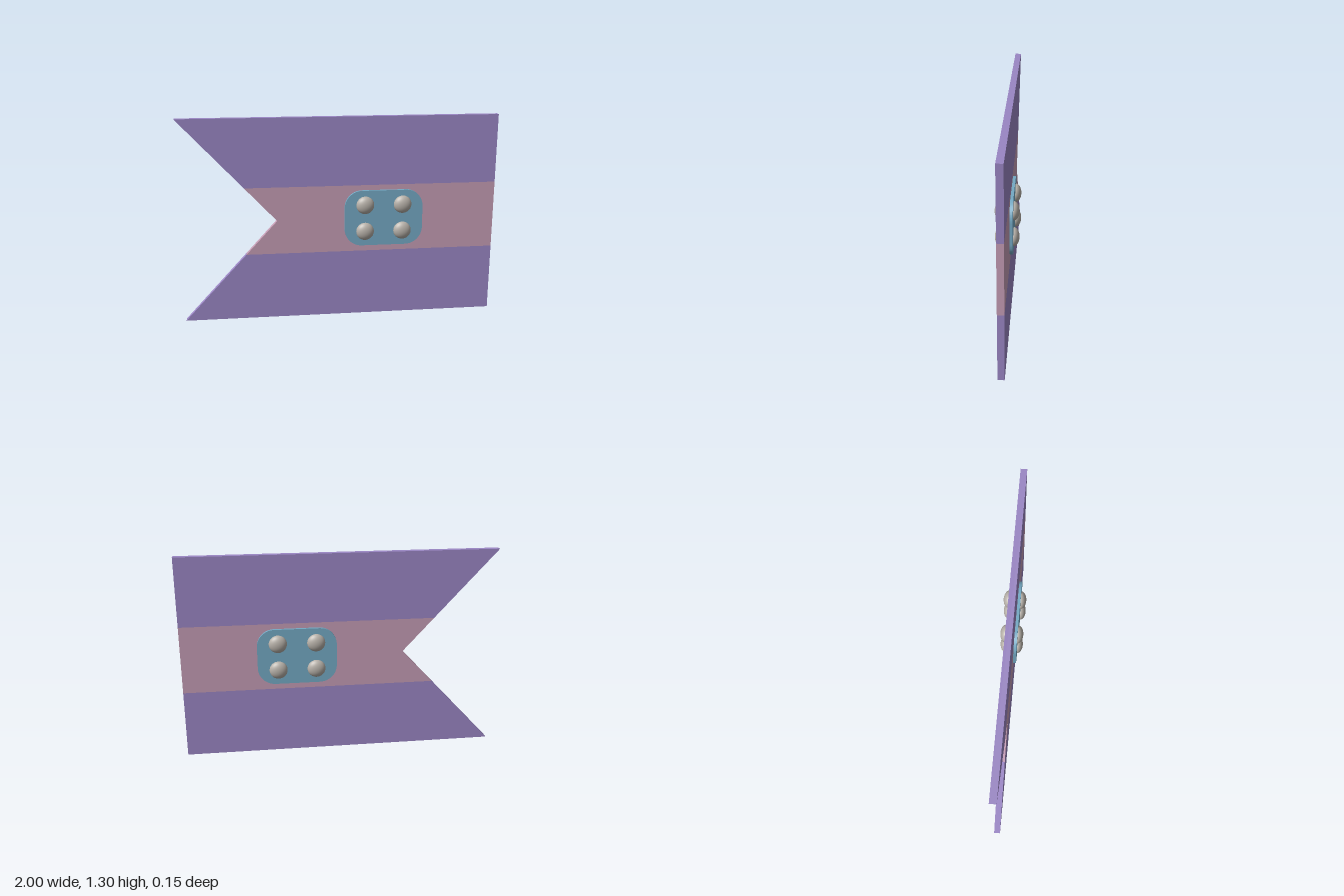
import * as THREE from 'three';

const material = (name, color) => {
  const m = new THREE.MeshStandardMaterial({ color });
  m.name = name;
  return m;
};

// Flat outline extruded symmetrically about z = 0
function slab(shape, thickness, mat, name) {
  const geo = new THREE.ExtrudeGeometry(shape, { depth: thickness, bevelEnabled: false, curveSegments: 10 });
  geo.translate(0, 0, -thickness / 2);
  const mesh = new THREE.Mesh(geo, mat);
  mesh.name = name;
  return mesh;
}

const polygon = (points) => new THREE.Shape(points.map(([x, y]) => new THREE.Vector2(x, y)));

function roundedRect(cx, cy, w, h, r) {
  const s = new THREE.Shape();
  const x = w / 2 - r, y = h / 2 - r;
  s.absarc(cx + x, cy + y, r, 0, Math.PI / 2);
  s.absarc(cx - x, cy + y, r, Math.PI / 2, Math.PI);
  s.absarc(cx - x, cy - y, r, Math.PI, Math.PI * 1.5);
  s.absarc(cx + x, cy - y, r, Math.PI * 1.5, Math.PI * 2);
  s.closePath();
  return s;
}

export function createModel() {
  const purple = material('purple cloth', 0x9a86c4);
  const pink = material('pink stripe', 0xc49cb4);
  const blue = material('blue plate', 0x74a9c4);
  const grey = material('grey studs', 0xb8b2aa);

  const model = new THREE.Group();
  model.name = 'swallowtailBanner';

  // Banner in three equal bands, notched on one end
  const H = 1.3, low = H / 3, high = 2 * H / 3, t = 0.04;
  model.add(
    slab(polygon([[-1, 0], [1, 0], [1, low], [-0.6, low]]), t, purple, 'lowerBand'),
    slab(polygon([[-0.6, low], [1, low], [1, high], [-0.6, high], [-0.4, H / 2]]), t, pink, 'middleBand'),
    slab(polygon([[-0.6, high], [1, high], [1, H], [-1, H]]), t, purple, 'upperBand'),
  );

  // Rounded plates on both faces, each with four flattened studs
  const cx = 0.277, cy = 0.654, gap = (0.076 - t) / 2;
  const studGeo = new THREE.SphereGeometry(0.057, 32, 20).scale(1, 1, 0.62);
  for (const side of [1, -1]) {
    const fitting = new THREE.Group();
    fitting.name = side > 0 ? 'frontFitting' : 'backFitting';
    const plate = slab(roundedRect(cx, cy, 0.5, 0.36, 0.11), gap, blue, 'plate');
    plate.position.z = side * (t + gap) / 2;
    fitting.add(plate);
    for (const dx of [-0.12, 0.12]) {
      for (const dy of [-0.086, 0.086]) {
        const stud = new THREE.Mesh(studGeo, grey);
        stud.name = 'stud';
        stud.position.set(cx + dx, cy + dy, side * 0.038);
        fitting.add(stud);
      }
    }
    model.add(fitting);
  }
  return model;
}
